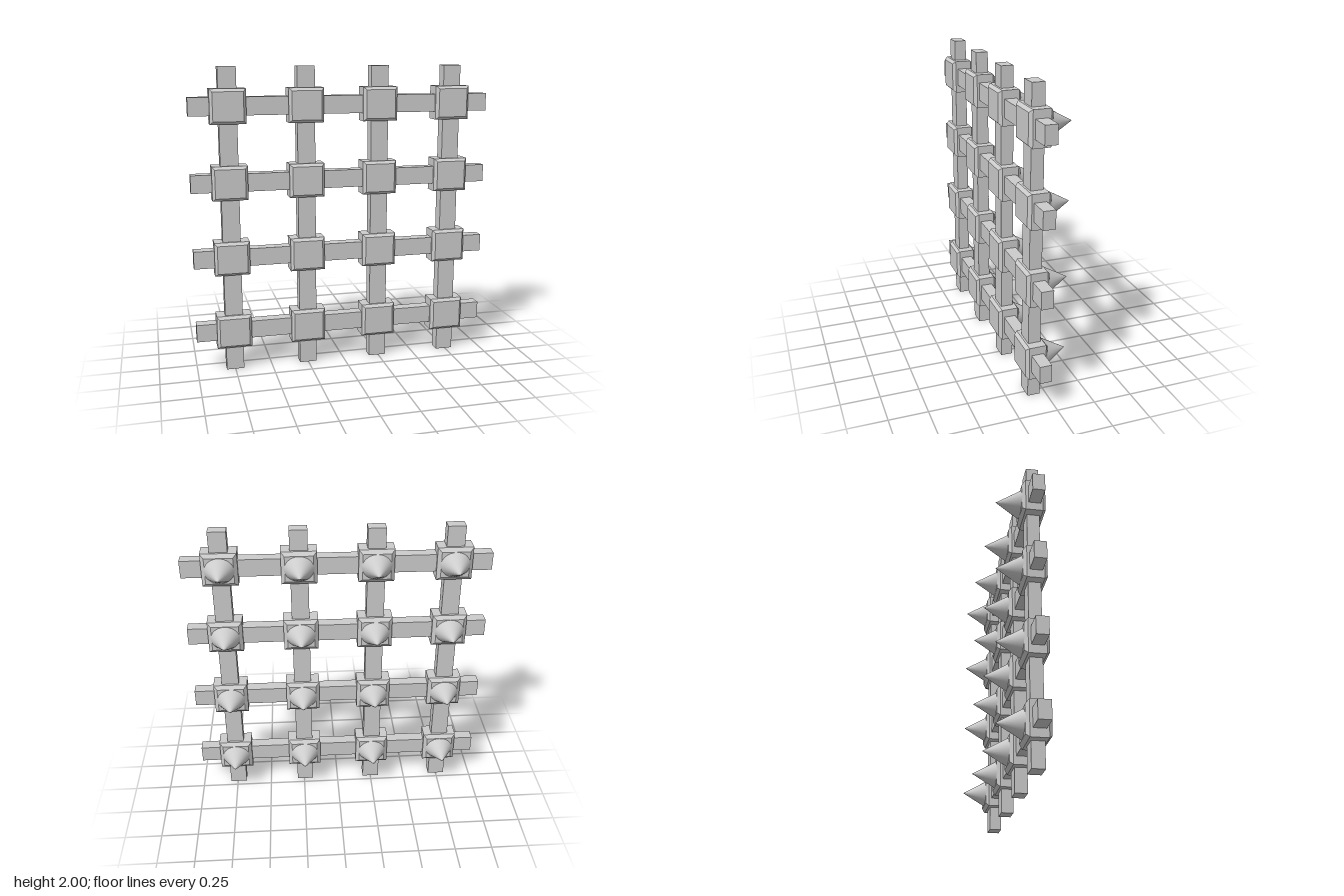
import * as THREE from 'three';

const material = new THREE.MeshStandardMaterial({ color: 0xcccccc });
const flatMaterial = new THREE.MeshStandardMaterial({ color: 0xcccccc, flatShading: true });

const COLUMNS = [-0.75, -0.25, 0.242, 0.742];
const ROWS = [0.269, 0.769, 1.266, 1.753];
const BAR_Z = 0.079;
const BLOCK_BACK = 0.003, BLOCK_FRONT = 0.152;

// Joint block: a box with its front and back rims bevelled
function blockGeometry(width, height) {
  const depth = BLOCK_FRONT - BLOCK_BACK, bevel = 0.02;
  const geometry = new THREE.BoxGeometry(width, height, depth, 1, 1, 3);
  const p = geometry.attributes.position;
  for (let i = 0; i < p.count; i++) {
    const z = p.getZ(i);
    const side = Math.sign(z);
    if (Math.abs(z) > depth / 2 - 0.001) {
      const inset = side > 0 ? 0.018 : 0.024;
      p.setX(i, p.getX(i) - Math.sign(p.getX(i)) * inset);
      p.setY(i, p.getY(i) - Math.sign(p.getY(i)) * inset);
    } else {
      p.setZ(i, side * (depth / 2 - bevel));
    }
  }
  geometry.computeVertexNormals();
  return geometry;
}

export function createModel() {
  const group = new THREE.Group();
  group.name = 'spikedGrate';

  const add = (parent, name, geometry, mat, x, y, z) => {
    const mesh = new THREE.Mesh(geometry, mat);
    mesh.name = name;
    mesh.position.set(x, y, z);
    parent.add(mesh);
  };

  // Crossing bars
  const upright = new THREE.BoxGeometry(0.116, 2, 0.08);
  const crossbar = new THREE.BoxGeometry(1.99, 0.116, 0.078);
  COLUMNS.forEach((x) => add(group, 'verticalBar', upright, material, x, 1, BAR_Z));
  ROWS.forEach((y) => add(group, 'horizontalBar', crossbar, material, -0.003, y, BAR_Z));

  // Slightly flattened cone pointing backwards
  const spikeLength = 0.156;
  const spike = new THREE.ConeGeometry(1, spikeLength, 32);
  spike.rotateX(-Math.PI / 2);
  spike.scale(0.097, 0.087, 1);

  // Block and spike at each crossing
  const block = blockGeometry(0.23, 0.222);
  for (const x of COLUMNS) {
    for (const y of ROWS) {
      const joint = new THREE.Group();
      joint.name = 'joint';
      joint.position.set(x, y, 0);
      add(joint, 'block', block, flatMaterial, 0, 0, (BLOCK_FRONT + BLOCK_BACK) / 2);
      add(joint, 'spike', spike, material, 0, 0, 0.006 - spikeLength / 2);
      group.add(joint);
    }
  }
  return group;
}
